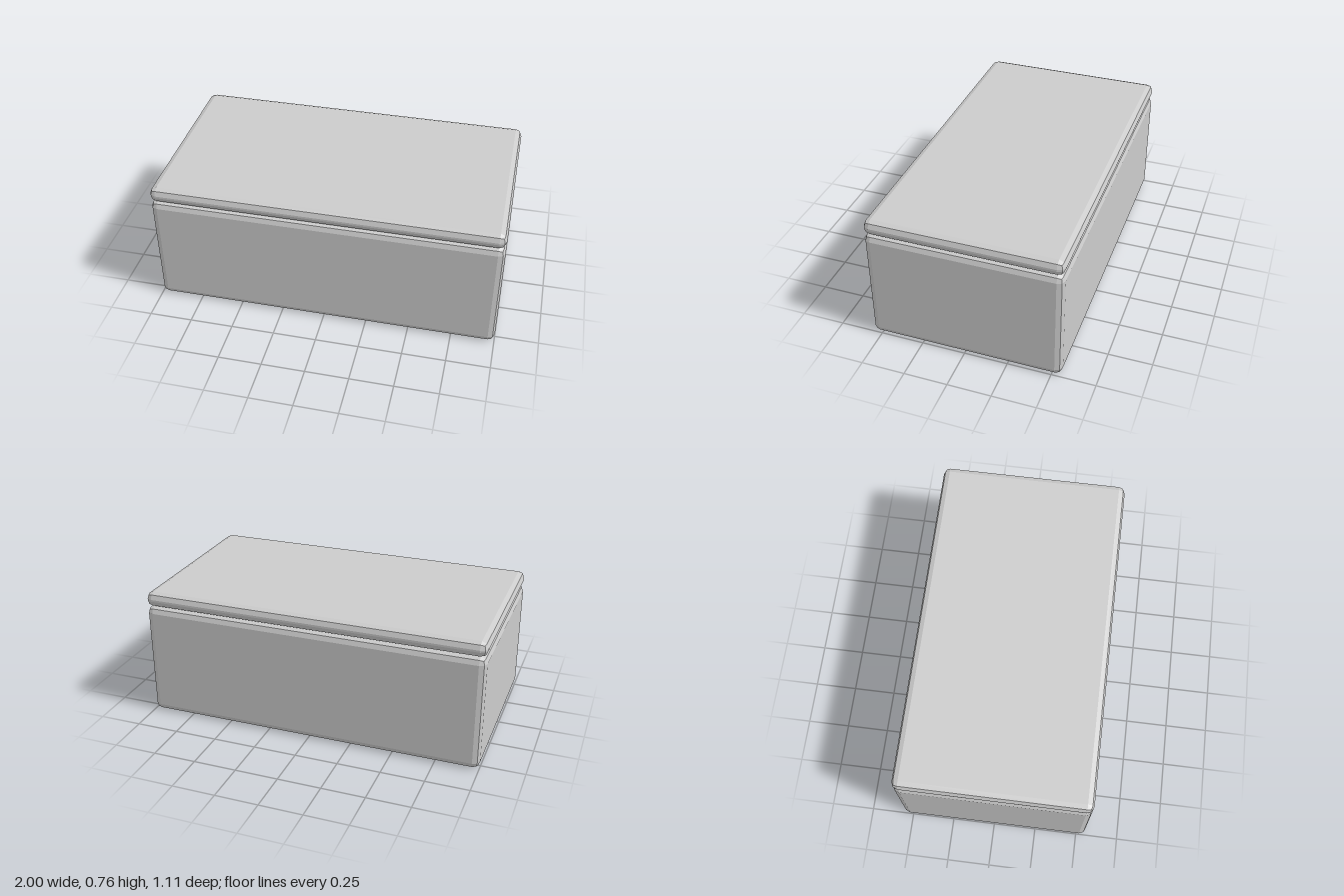
import * as THREE from 'three';
import { RoundedBoxGeometry } from 'three/addons/geometries/RoundedBoxGeometry.js';

const WIDTH = 2, DEPTH = 1.11, BEVEL = 0.038;

export function createModel() {
  const group = new THREE.Group();
  group.name = 'liddedBox';
  const material = new THREE.MeshStandardMaterial({ color: 0xcccccc, flatShading: true });

  // A block with two-facet bevels on every edge, between two heights
  const addBlock = (name, bottom, top) => {
    const mesh = new THREE.Mesh(
      new RoundedBoxGeometry(WIDTH, top - bottom, DEPTH, 1, BEVEL), material);
    mesh.name = name;
    mesh.position.y = (bottom + top) / 2;
    group.add(mesh);
  };

  addBlock('boxBody', 0, 0.676);
  addBlock('lid', 0.677, 0.764);
  return group;
}
